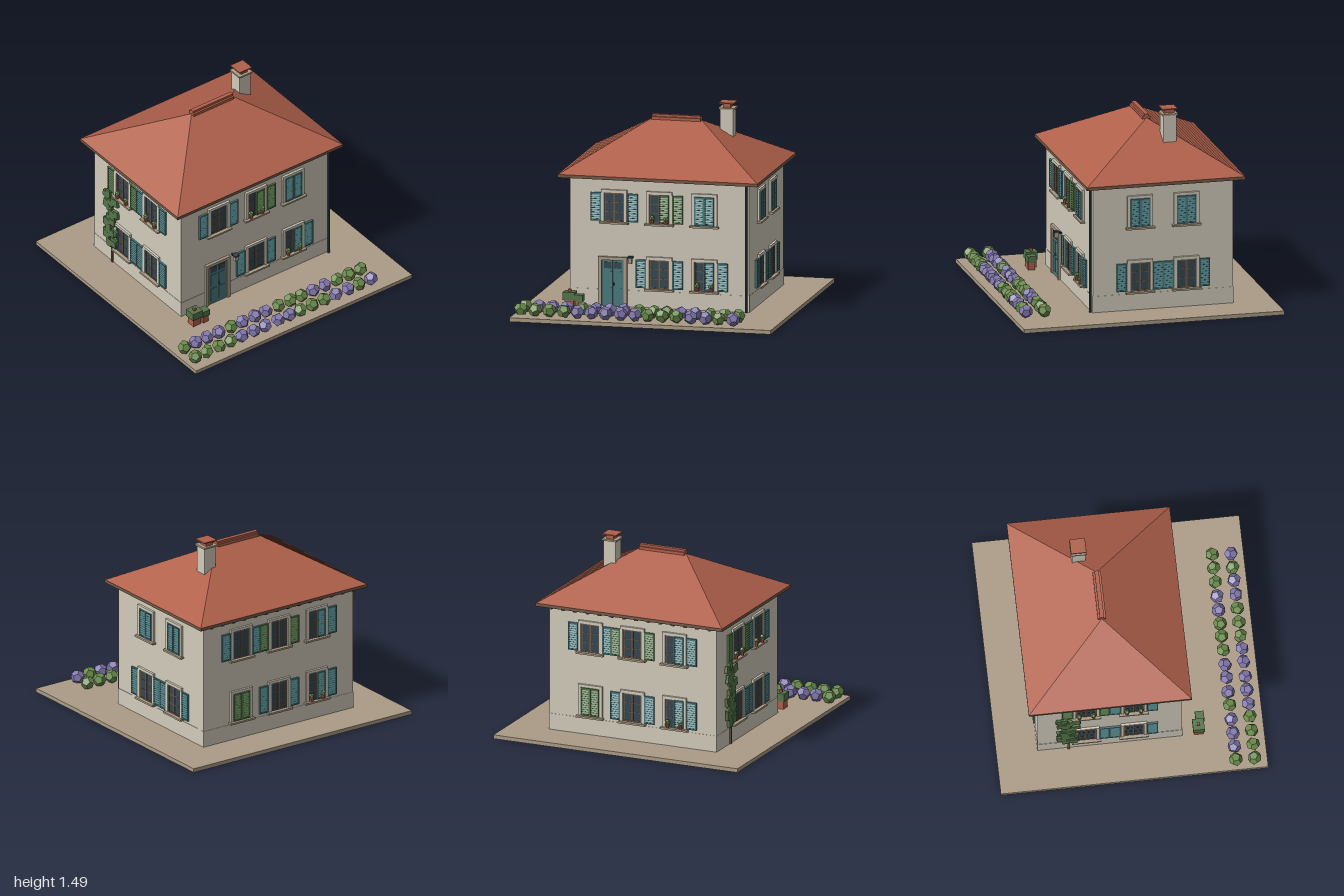
import * as THREE from 'three';

const mat = (name, color) => Object.assign(new THREE.MeshStandardMaterial({ color, flatShading: true }), { name });
const M = {
  plaster: mat('plaster', 0xd3ccbc),
  stone: mat('stone', 0xab9c86),
  tile: mat('roof tile', 0xb0604a),
  teal: mat('teal paint', 0x4b7c80),
  green: mat('green paint', 0x55764a),
  leaf: mat('leaf', 0x6a8c4c),
  flower: mat('lavender', 0x8278ae),
  glass: mat('dark glass', 0x344750),
  wood: mat('brown wood', 0x755846),
};

// House footprint
const HX = 0.685, HZ = 0.54, CZ = -0.15, GROUND = 0.03, WALL_TOP = 1.0;

let seed = 7;
const rand = () => (seed = (seed * 16807) % 2147483647) / 2147483647;

function group(parent, name, x = 0, y = 0, z = 0) {
  const g = new THREE.Group();
  g.name = name;
  g.position.set(x, y, z);
  parent.add(g);
  return g;
}

function add(parent, name, geo, material, x = 0, y = 0, z = 0) {
  const m = new THREE.Mesh(geo, material);
  m.name = name;
  m.position.set(x, y, z);
  parent.add(m);
  return m;
}

// Box given by centre x, bottom y and centre z
const box = (parent, name, material, w, h, d, x, y, z) =>
  add(parent, name, new THREE.BoxGeometry(w, h, d), material, x, y + h / 2, z);

// Louvred shutter, back against z
function shutter(parent, material, x, z, w) {
  const g = group(parent, 'shutter', x, 0.003, z);
  const h = 0.214, slats = 11;
  box(g, 'shutterPanel', material, w, h, 0.007, 0, 0, 0.0035);
  for (const s of [-1, 1]) {
    box(g, 'shutterStile', material, 0.009, h, 0.014, s * (w / 2 - 0.0045), 0, 0.007);
    box(g, 'shutterRail', material, w, 0.009, 0.014, 0, s < 0 ? 0 : h - 0.009, 0.007);
  }
  for (let i = 0; i < slats; i++) {
    const slat = box(g, 'shutterSlat', material, w - 0.018, 0.012, 0.003, 0, 0.013 + i * 0.0172, 0.009);
    slat.rotation.x = -0.5;
  }
}

// Small flower pot on a sill
function sillPot(parent, x) {
  add(parent, 'sillPot', new THREE.CylinderGeometry(0.017, 0.012, 0.034, 8), M.tile, x, 0.013, 0.019);
  add(parent, 'sillPlant', new THREE.DodecahedronGeometry(0.02), M.leaf, x, 0.043, 0.019);
}

// Window at local x, bottom y. mode: open, closed or half
function windowUnit(wall, x, y, mode, paint, pots = false) {
  const g = group(wall, 'window', x, y, 0);
  const w = 0.15, h = 0.22;
  box(g, 'windowGlass', M.glass, w, h, 0.006, 0, 0, 0.003);
  for (const s of [-1, 1]) {
    box(g, 'surroundSide', M.plaster, 0.022, h + 0.02, 0.016, s * 0.087, 0, 0.008);
    box(g, 'sashSide', M.wood, 0.009, h, 0.009, s * 0.0705, 0, 0.0045);
    box(g, 'sashRail', M.wood, w, 0.009, 0.009, 0, s < 0 ? 0 : h - 0.009, 0.0045);
    box(g, 'glazingBar', M.wood, w, 0.005, 0.008, 0, h / 2 + s * 0.036 - 0.0025, 0.004);
  }
  box(g, 'surroundTop', M.plaster, 0.196, 0.022, 0.018, 0, h, 0.009);
  box(g, 'sashMullion', M.wood, 0.012, h, 0.01, 0, 0, 0.005);
  box(g, 'windowSill', M.stone, 0.22, 0.014, 0.034, 0, -0.016, 0.017);
  if (mode === 'open') shutter(g, paint, -0.14, 0.003, 0.08);
  if (mode !== 'closed') shutter(g, paint, 0.14, 0.003, 0.08);
  if (mode === 'closed') shutter(g, paint, -0.0375, 0.008, 0.074);
  if (mode !== 'open') shutter(g, paint, 0.0375, 0.008, 0.074);
  if (pots) [-0.053, 0.053].forEach((px) => sillPot(g, px));
}

// Wall frame whose local +z points outward
function wallFrame(parent, name, x, z, angle) {
  const g = group(parent, name, x, 0, z);
  g.rotation.y = angle;
  return g;
}

// Hipped roof built from tapering courses, each with a tiny overlapping lip
function roofGeometry(courses) {
  const rings = [];
  const ring = (t, lip) => {
    const hx = 0.76 + (0.185 - 0.76) * t + lip, hz = 0.605 * (1 - t) + lip, y = 1.02 + 0.34 * t;
    rings.push([[hx, y, hz], [hx, y, -hz], [-hx, y, -hz], [-hx, y, hz]]);
  };
  for (let i = 0; i < courses; i++) {
    ring(i / courses, 0.004);
    ring((i + 1) / courses, 0);
  }
  const pos = [];
  for (let r = 0; r < rings.length - 1; r++) {
    for (let k = 0; k < 4; k++) {
      const n = (k + 1) % 4, a = rings[r][k], b = rings[r][n], c = rings[r + 1][n], d = rings[r + 1][k];
      pos.push(...a, ...b, ...c, ...a, ...c, ...d);
    }
  }
  const geo = new THREE.BufferGeometry();
  geo.setAttribute('position', new THREE.Float32BufferAttribute(pos, 3));
  geo.computeVertexNormals();
  return geo;
}

function buildRoof(parent) {
  const g = group(parent, 'roof', 0, 0, CZ - 0.005);
  box(g, 'eaves', M.wood, 1.53, 0.024, 1.22, 0, 0.997, 0);
  add(g, 'roofTiles', roofGeometry(16), M.tile);
  box(g, 'ridgeBase', M.tile, 0.372, 0.022, 0.062, 0, 1.352, 0);
  box(g, 'ridgeCap', M.tile, 0.372, 0.018, 0.032, 0, 1.373, 0);
  for (let i = 0; i < 14; i++) box(g, 'rafterTail', M.wood, 0.025, 0.014, 0.06, -0.65 + i * 0.1, 0.984, -0.565);

  const c = group(parent, 'chimney', 0.362, 0, -0.275);
  box(c, 'chimneyStack', M.plaster, 0.1, 0.22, 0.1, 0, 1.215, 0);
  box(c, 'chimneyCollar', M.stone, 0.12, 0.013, 0.12, 0, 1.432, 0);
  box(c, 'chimneyFlue', M.tile, 0.058, 0.033, 0.08, 0, 1.445, 0);
  box(c, 'chimneyCap', M.tile, 0.115, 0.009, 0.115, 0, 1.476, 0);
}

function buildDoor(wall) {
  const g = group(wall, 'door', -0.355, GROUND, 0);
  for (const s of [-1, 1]) {
    box(g, 'doorJamb', M.stone, 0.024, 0.375, 0.02, s * 0.098, 0, 0.01);
    box(g, 'doorLeaf', M.teal, 0.082, 0.35, 0.01, s * 0.042, 0, 0.005);
    box(g, 'doorPane', M.glass, 0.056, 0.048, 0.004, s * 0.038, 0.287, 0.011);
    box(g, 'doorPanel', M.teal, 0.056, 0.1, 0.005, s * 0.038, 0.165, 0.011);
    box(g, 'doorPanel', M.teal, 0.056, 0.11, 0.005, s * 0.038, 0.03, 0.011);
  }
  box(g, 'doorLintel', M.stone, 0.22, 0.025, 0.022, 0, 0.35, 0.011);
  box(g, 'doorGap', M.glass, 0.004, 0.35, 0.008, 0, 0, 0.004);
  box(g, 'doorHandle', M.glass, 0.008, 0.02, 0.018, 0.01, 0.16, 0.014);
  // Lamp beside the door
  const l = group(wall, 'wallLamp', -0.213, 0, 0);
  box(l, 'lampRoof', M.glass, 0.04, 0.013, 0.04, 0, 0.407, 0.045);
  box(l, 'lampBody', M.stone, 0.03, 0.038, 0.03, 0, 0.369, 0.045);
  box(l, 'lampArm', M.glass, 0.012, 0.012, 0.04, 0, 0.395, 0.02);
}

function buildVine(wall) {
  const g = group(wall, 'climbingVine', -0.31, 0, 0);
  box(g, 'vineStem', M.wood, 0.016, 0.6, 0.014, 0, GROUND, 0.008);
  for (let i = 0; i < 22; i++) {
    const leaf = box(g, 'vineLeaves', M.green, 0.05 + rand() * 0.03, 0.045 + rand() * 0.02, 0.022,
      (rand() - 0.5) * 0.12, 0.17 + i * 0.0215, 0.014 + rand() * 0.006);
    leaf.rotation.z = (rand() - 0.5) * 0.5;
  }
}

function buildGarden(parent) {
  const g = group(parent, 'garden');
  const bush = new THREE.DodecahedronGeometry(0.052);
  // Two hedge rows: g is a leafy bush, p a lavender bush
  [['gpppgpppgggppggg', 0.765], ['ggggpppppgggppgp', 0.905]].forEach(([row, z]) => {
    [...row].forEach((c, i) => {
      const b = add(g, 'hedgeBush', bush, c === 'g' ? M.leaf : M.flower,
        -0.935 + i * 0.1085 + (rand() - 0.5) * 0.012, 0.08, z);
      b.rotation.set(rand() * 6, rand() * 6, rand() * 6);
    });
  });
  // Planters by the door
  box(g, 'planterPot', M.tile, 0.07, 0.065, 0.07, -0.655, GROUND, 0.515);
  box(g, 'planterShrub', M.green, 0.09, 0.06, 0.086, -0.655, 0.092, 0.515);
  box(g, 'planterBloom', M.tile, 0.022, 0.02, 0.022, -0.655, 0.15, 0.515);
  box(g, 'planterPot', M.tile, 0.052, 0.06, 0.05, -0.58, GROUND, 0.532);
  box(g, 'planterShrub', M.green, 0.068, 0.048, 0.066, -0.58, 0.088, 0.532);
}

export function createModel() {
  const model = new THREE.Group();
  model.name = 'villa';
  box(model, 'groundSlab', M.stone, 2, GROUND, 2, 0, 0, 0);
  box(model, 'houseWalls', M.plaster, 2 * HX, WALL_TOP - GROUND, 2 * HZ, 0, GROUND, CZ);
  box(model, 'plinth', M.plaster, 2 * HX + 0.005, 0.125, 2 * HZ + 0.005, 0, GROUND, CZ);
  buildRoof(model);

  const UP = 0.672, LOW = 0.176, B = 0.345, S = 0.178;
  const front = wallFrame(model, 'frontWall', 0, CZ + HZ, 0);
  windowUnit(front, -B, UP, 'open', M.teal);
  windowUnit(front, 0, UP, 'half', M.green, true);
  windowUnit(front, B, UP, 'closed', M.teal);
  windowUnit(front, 0, LOW, 'open', M.teal);
  windowUnit(front, B, LOW, 'half', M.teal, true);
  buildDoor(front);

  const back = wallFrame(model, 'backWall', 0, CZ - HZ, Math.PI);
  windowUnit(back, -B, UP, 'open', M.teal);
  windowUnit(back, 0, UP, 'open', M.green);
  windowUnit(back, B, UP, 'half', M.teal);
  windowUnit(back, -B, LOW, 'closed', M.green);
  windowUnit(back, 0, LOW, 'open', M.teal);
  windowUnit(back, B, LOW, 'half', M.teal, true);

  const side = wallFrame(model, 'rightWall', HX, CZ, Math.PI / 2);
  const left = wallFrame(model, 'leftWall', -HX, CZ, -Math.PI / 2);
  for (const x of [-S, S]) {
    windowUnit(side, x, UP, 'closed', M.teal);
    windowUnit(side, x, LOW, 'open', M.teal);
    windowUnit(left, x, UP, 'open', x < 0 ? M.green : M.teal, true);
    windowUnit(left, x, LOW, 'open', M.teal);
  }
  buildVine(left);

  // Rain pipe on the front corner
  add(model, 'rainPipe', new THREE.CylinderGeometry(0.01, 0.01, WALL_TOP - GROUND, 8), M.glass,
    0.667, (WALL_TOP + GROUND) / 2, CZ + HZ + 0.016);
  buildGarden(model);
  return model;
}
